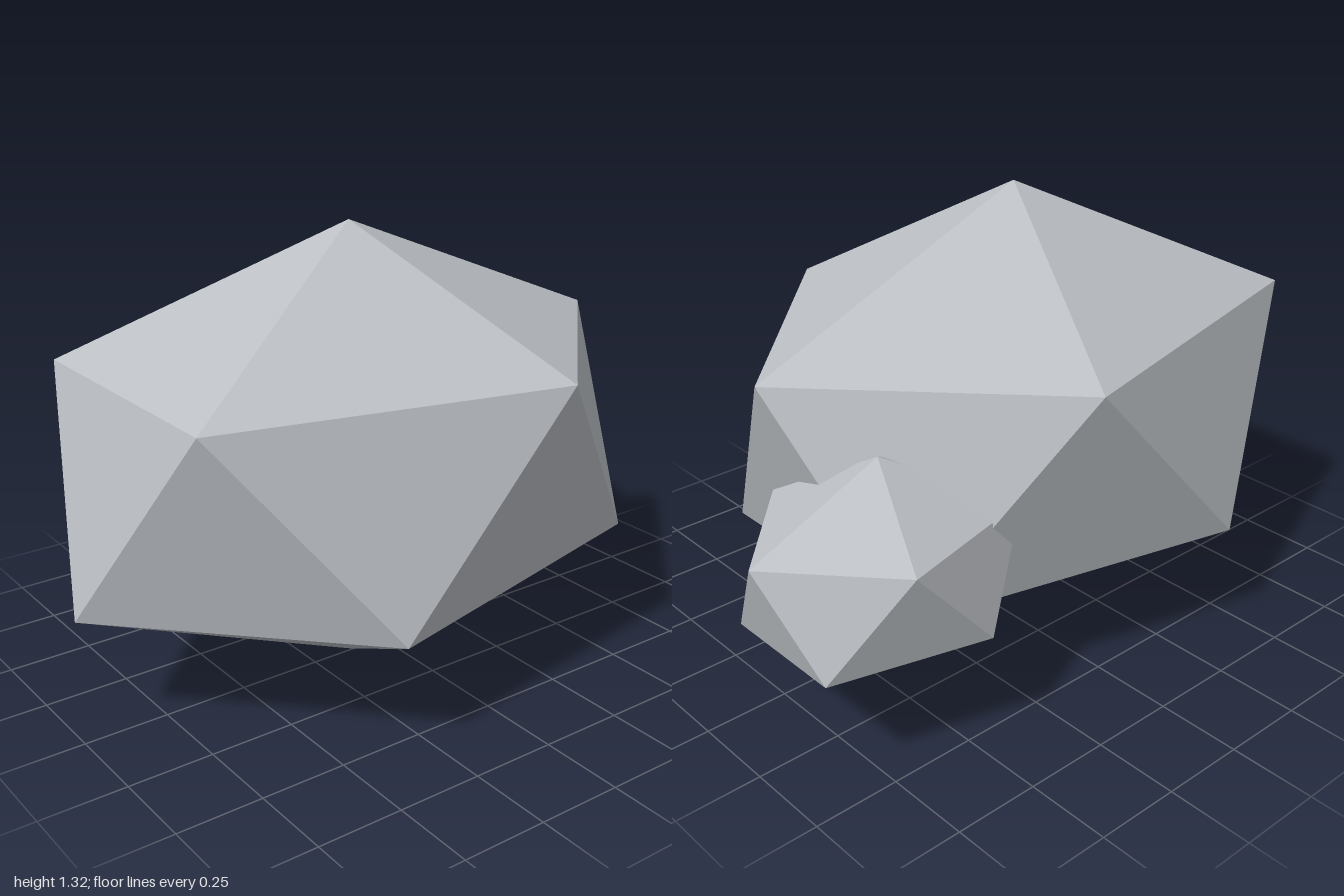
import * as THREE from 'three';

const stone = new THREE.MeshStandardMaterial({ color: 0xbcc0c5, flatShading: true });
stone.name = 'stoneGrey';

// Faceted rock: an icosahedron standing on one corner, stretched along each axis
function rock(name, radii, position) {
  const geometry = new THREE.IcosahedronGeometry(1, 0);
  const golden = (1 + Math.sqrt(5)) / 2;
  geometry.rotateZ(-Math.atan(1 / golden)); // bring one corner to the top
  geometry.scale(...radii);
  geometry.computeVertexNormals();
  const mesh = new THREE.Mesh(geometry, stone);
  mesh.name = name;
  mesh.position.set(...position);
  return mesh;
}

export function createModel() {
  const group = new THREE.Group();
  group.name = 'rocks';
  // Large boulder with a small stone leaning into its back corner
  group.add(rock('largeRock', [0.992, 0.661, 0.745], [-0.113, 0.662, -0.002]));
  group.add(rock('smallRock', [0.444, 0.309, 0.352], [0.603, 0.498, -0.277]));
  return group;
}
